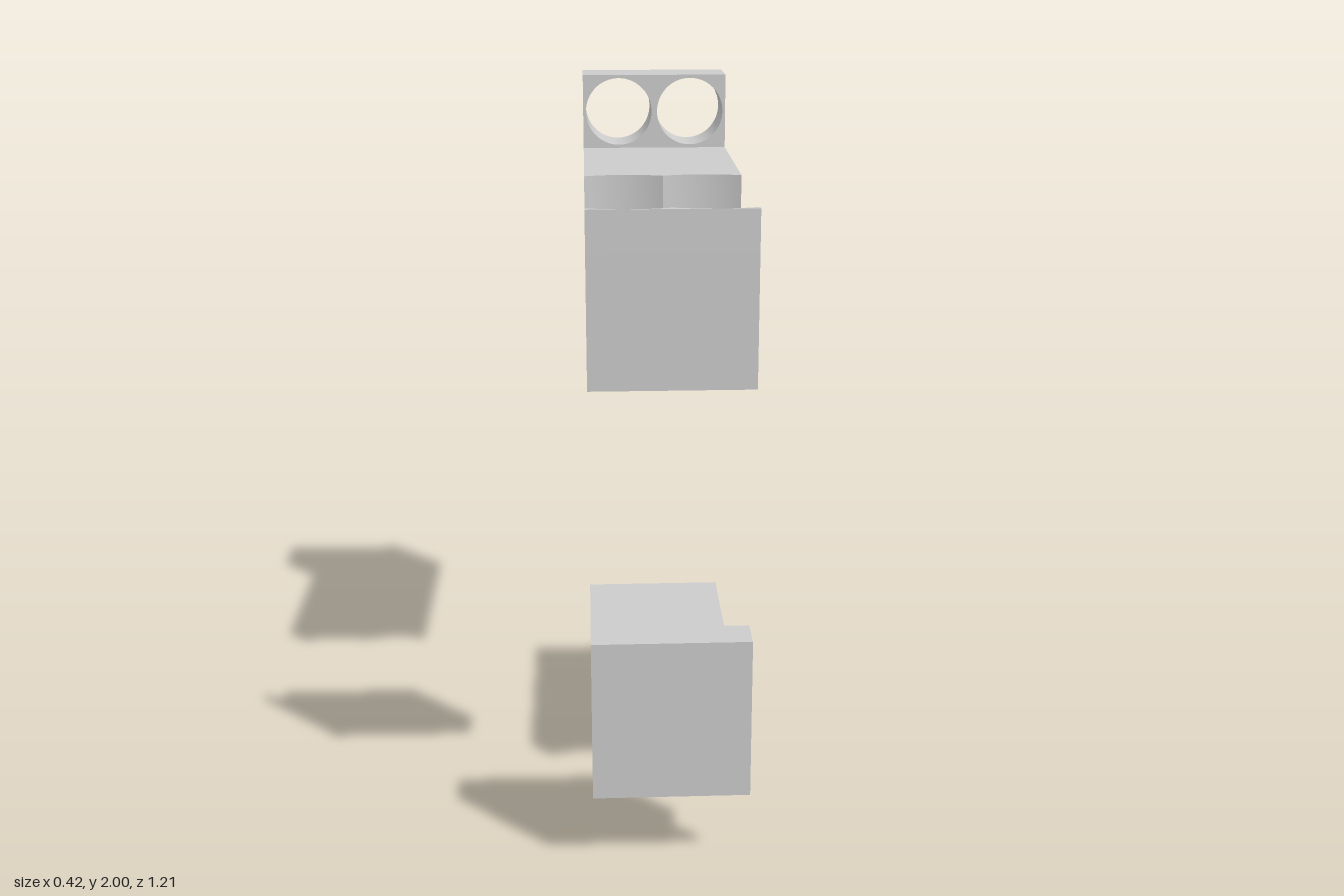
import * as THREE from 'three';
import { toCreasedNormals } from 'three/addons/utils/BufferGeometryUtils.js';

const W = 0.21;                                   // half width
const BACK = -0.605, FRONT = 0.605;
const SLAB_LOW = 0.212, SLAB_HIGH = 0.316;
const material = new THREE.MeshStandardMaterial({ color: 0xcccccc });

function addMesh(group, name, geometry) {
  const mesh = new THREE.Mesh(geometry, material);
  mesh.name = name;
  group.add(mesh);
}

function extrude(shape, depth) {
  const geometry = new THREE.ExtrudeGeometry(shape, { depth, bevelEnabled: false, curveSegments: 32 });
  return toCreasedNormals(geometry, 0.5);
}

// Plan outline (x, z) from a straight edge to an edge cut by two shallow arcs
function scallopedPlan(straightZ, cuspZ, sag) {
  const shape = new THREE.Shape();
  const half = W / 2;
  const radius = (half * half + sag * sag) / (2 * Math.abs(sag));
  const steps = 16;
  shape.moveTo(-W, straightZ);
  shape.lineTo(W, straightZ);
  for (const cx of [half, -half]) {
    for (let i = 0; i <= steps; i++) {
      if (cx < 0 && i === 0) continue;            // shared cusp
      const dx = half - (2 * half * i) / steps;
      const rise = Math.sqrt(radius * radius - dx * dx) - (radius - Math.abs(sag));
      shape.lineTo(cx + dx, cuspZ + Math.sign(sag) * rise);
    }
  }
  return shape;
}

// Stand a plan outline up between two heights
function plate(plan, low, high) {
  return extrude(plan, high - low).rotateX(Math.PI / 2).translate(0, high, 0);
}

function box(low, high, back, front) {
  return new THREE.BoxGeometry(2 * W, high - low, front - back)
    .translate(0, (low + high) / 2, (back + front) / 2);
}

// Lower half: an L-shaped bracket and a stepped front plate
function createHalf(name) {
  const half = new THREE.Group();
  half.name = name;

  // Horizontal slab with scalloped front edge
  addMesh(half, 'bracketSlab', plate(scallopedPlan(BACK, 0.097, -0.021), SLAB_LOW, SLAB_HIGH));

  // Rear block bored with two round holes
  const face = new THREE.Shape();
  face.moveTo(-W, 0).lineTo(W, 0).lineTo(W, SLAB_LOW).lineTo(-W, SLAB_LOW).closePath();
  for (const x of [-W / 2, W / 2]) {
    face.holes.push(new THREE.Path().absarc(x, 0.106, 0.097, 0, Math.PI * 2, true));
  }
  addMesh(half, 'boredBlock', extrude(face, 0.16).translate(0, 0, BACK));

  // Front plate and its thin lip, hollowed on the back by two arcs
  addMesh(half, 'frontPlate', box(0.319, 0.66, 0.501, FRONT));
  addMesh(half, 'frontLip', plate(scallopedPlan(FRONT, 0.584, 0.019), SLAB_LOW, 0.319));
  return half;
}

export function createModel() {
  const model = new THREE.Group();
  model.name = 'clampParts';
  model.add(createHalf('lowerHalf'));

  // Upper half is the lower one turned over about mid-height
  const upper = createHalf('upperHalf');
  upper.rotation.z = Math.PI;
  upper.position.y = 2;
  model.add(upper);
  return model;
}
